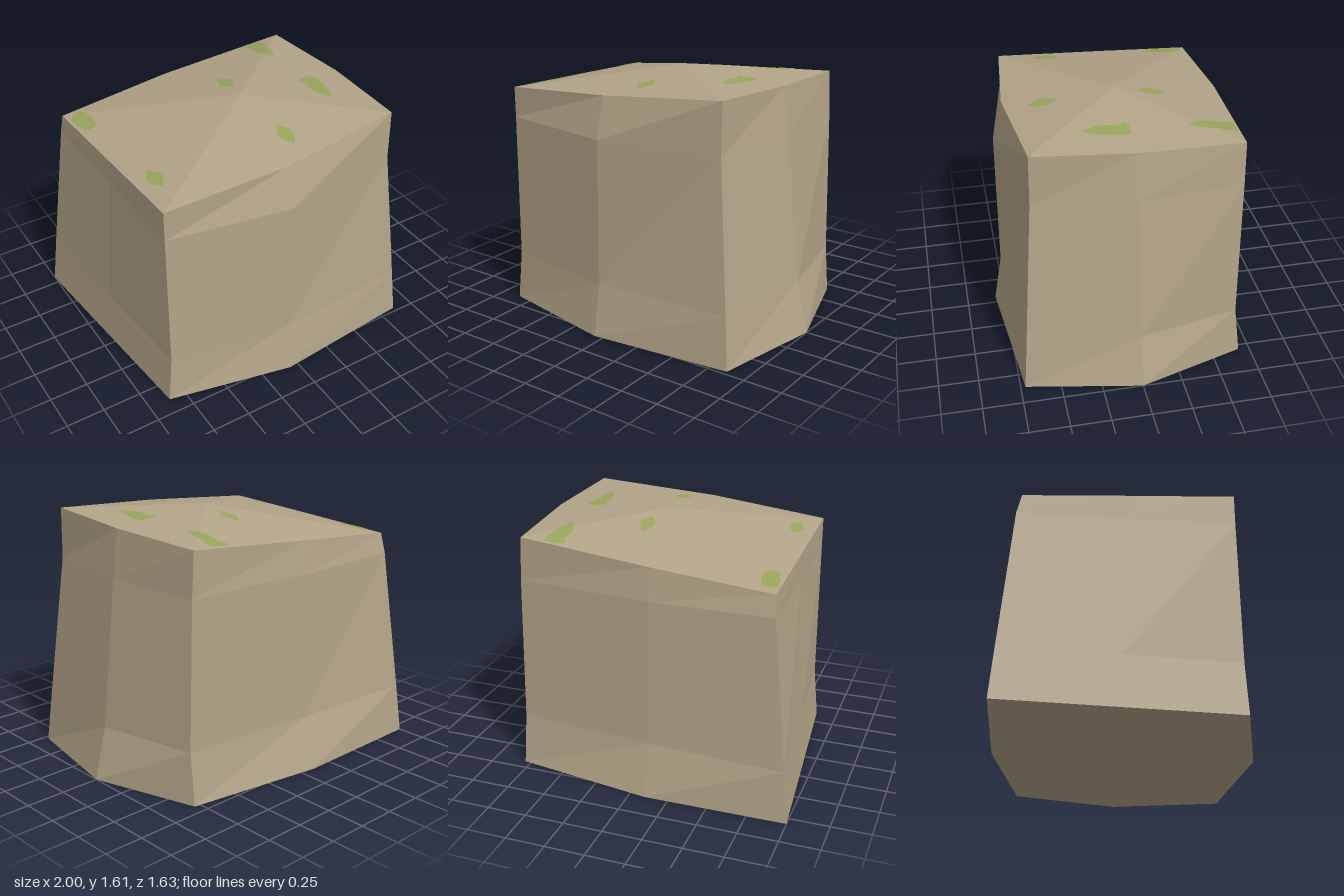
import * as THREE from 'three';

// Rings run front-left, front, front-right, right, back-right, back, back-left, left: [x, z]
const RINGS = [
  [[-.86, .64], [-.06, .81], [.865, .72], [1, 0], [.79, -.68], [-.1, -.82], [-1, -.81], [-.93, -.08]],
  [[-.83, .63], [-.055, .755], [.835, .695], [.92, 0], [.785, -.64], [-.1, -.735], [-.965, -.785], [-.9, -.08]],
  [[-.83, .62], [-.05, .75], [.745, .625], [.82, 0], [.765, -.64], [-.1, -.715], [-.86, -.71], [-.845, -.04]],
  [[-.83, .62], [-.05, .685], [.745, .62], [.785, 0], [.75, -.64], [-.1, -.69], [-.85, -.68], [-.84, 0]],
];
const TOP_Y = [1.455, 1.52, 1.585, 1.56, 1.535, 1.463, 1.39, 1.425];
const APEX = [.06, 1.61, 0];

const rings = RINGS.map((ring, k) =>
  ring.map(([x, z], i) => [x, [0, .33, 1.26, TOP_Y[i]][k], z]));

// Separate corners per triangle keep every facet flat
function facets(triangles) {
  const geometry = new THREE.BufferGeometry();
  geometry.setAttribute('position', new THREE.Float32BufferAttribute(triangles.flat(2), 3));
  geometry.computeVertexNormals();
  return geometry;
}

function stoneGeometry() {
  const tris = [];
  const top = rings[3], base = rings[0];
  for (let i = 0; i < 8; i++) {
    const j = (i + 1) % 8;
    for (let k = 0; k < 3; k++) {
      const a = rings[k][i], b = rings[k][j], c = rings[k + 1][i], d = rings[k + 1][j];
      tris.push([a, b, d], [a, d, c]);
    }
    tris.push([top[i], top[j], APEX]);
    tris.push([base[j], base[i], [0, 0, 0]]);
  }
  return facets(tris);
}

// Height of the faceted top at a point
function topHeight(x, z) {
  const px = x - APEX[0], pz = z - APEX[2];
  for (let i = 0; i < 8; i++) {
    const a = rings[3][i], b = rings[3][(i + 1) % 8];
    const ax = a[0] - APEX[0], az = a[2] - APEX[2];
    const bx = b[0] - APEX[0], bz = b[2] - APEX[2];
    const det = ax * bz - az * bx;
    const u = (px * bz - pz * bx) / det, v = (ax * pz - az * px) / det;
    if (u >= -1e-6 && v >= -1e-6) {
      return APEX[1] + u * (a[1] - APEX[1]) + v * (b[1] - APEX[1]);
    }
  }
  return APEX[1];
}

// Moss patch draped over the top; rows are [z, xMin, xMax]
function mossGeometry(rows) {
  const cols = 5, tris = [];
  const at = ([z, x0, x1], c) => {
    const x = x0 + (x1 - x0) * c / cols;
    return [x, topHeight(x, z) + .004, z];
  };
  for (let r = 0; r < rows.length - 1; r++) {
    for (let c = 0; c < cols; c++) {
      const a = at(rows[r], c), b = at(rows[r], c + 1);
      const d = at(rows[r + 1], c), e = at(rows[r + 1], c + 1);
      tris.push([a, d, e], [a, e, b]);
    }
  }
  return facets(tris);
}

const diamond = (x, z) => [
  [z - .09, x - .005, x + .005],
  [z - .025, x - .045, x + .045],
  [z + .025, x - .045, x + .045],
  [z + .09, x - .005, x + .005],
];

const clump = (z) => [
  [z, .5, .59], [z + .02, .465, .6], [z + .07, .495, .6], [z + .13, .485, .585],
  [z + .19, .49, .58], [z + .22, .5, .57], [z + .28, .53, .54],
];

const MOSS = [
  diamond(.09, -.23),
  diamond(.09, .45),
  diamond(-.72, .32),
  clump(0),
  clump(-.635),
  [[-.63, -.8, -.75], [-.58, -.83, -.73], [-.5, -.83, -.72], [-.44, -.81, -.73], [-.4, -.8, -.74]],
];

export function createModel() {
  const stone = new THREE.MeshStandardMaterial({ color: 0xb3a488 });
  stone.name = 'stone';
  const moss = new THREE.MeshStandardMaterial({ color: 0x98a55c });
  moss.name = 'moss';

  const model = new THREE.Group();
  model.name = 'stoneBlock';

  const block = new THREE.Mesh(stoneGeometry(), stone);
  block.name = 'block';
  model.add(block);

  MOSS.forEach((rows, i) => {
    const patch = new THREE.Mesh(mossGeometry(rows), moss);
    patch.name = `mossPatch${i + 1}`;
    model.add(patch);
  });
  return model;
}
